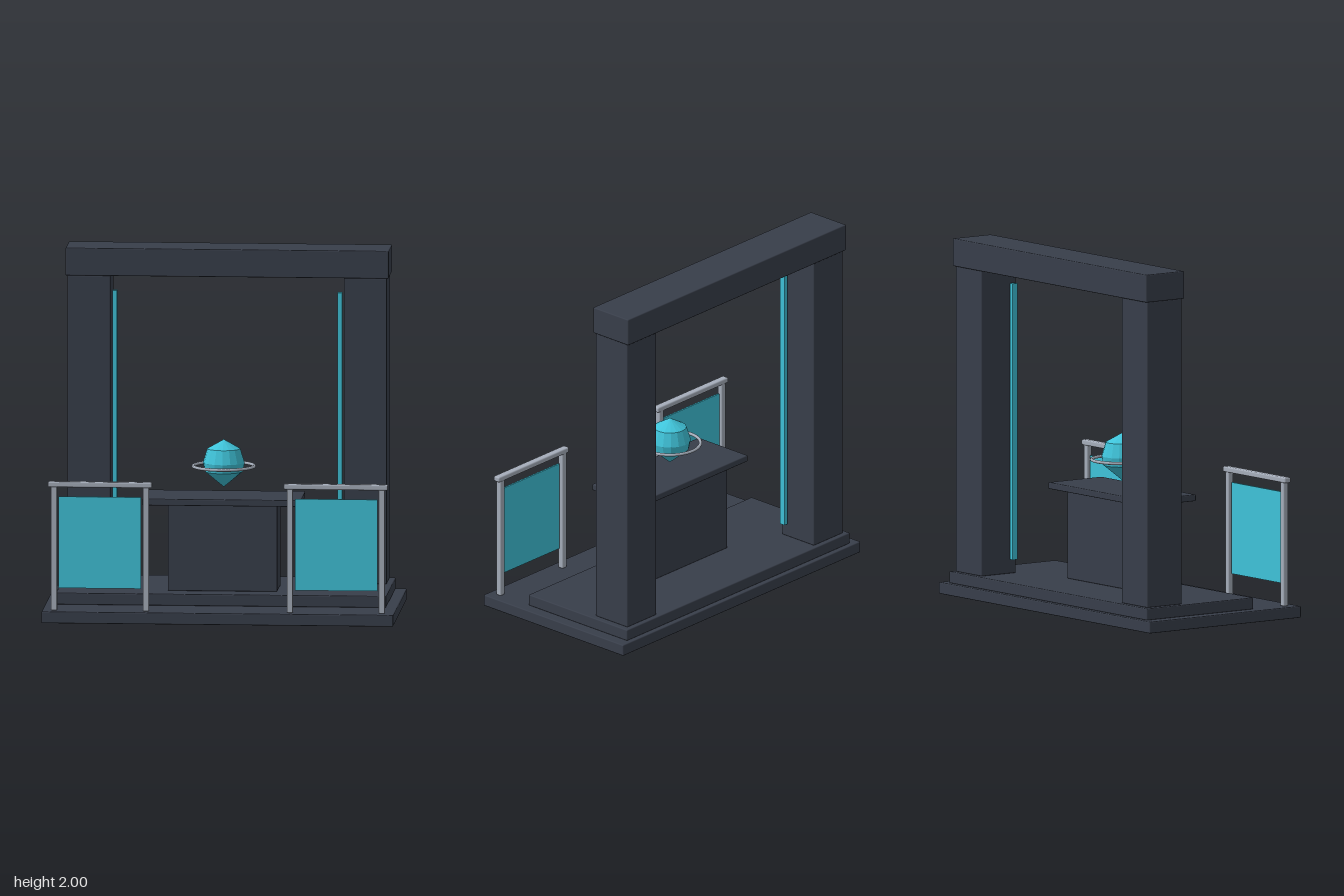
import * as THREE from 'three';
import { RoundedBoxGeometry } from 'three/addons/geometries/RoundedBoxGeometry.js';

export function createModel() {
  const model = new THREE.Group();
  model.name = 'crystalGateShrine';

  const material = (name, color, extra = {}) =>
    Object.assign(new THREE.MeshStandardMaterial({ color, ...extra }), { name });
  const stone = material('darkSlate', 0x383e4a);
  const metal = material('paleMetal', 0xa6aebb);
  const glow = material('cyanGlass', 0x3fc3d9);
  const crystalGlow = glow.clone();
  crystalGlow.flatShading = true;

  // Softly edged block given by its min and max along each axis
  function block(name, mat, [x0, x1], [y0, y1], [z0, z1], parent = model, radius = 0.006) {
    const w = x1 - x0, h = y1 - y0, d = z1 - z0;
    const geometry = radius
      ? new RoundedBoxGeometry(w, h, d, 2, radius)
      : new THREE.BoxGeometry(w, h, d);
    const mesh = new THREE.Mesh(geometry, mat);
    mesh.name = name;
    mesh.position.set((x0 + x1) / 2, (y0 + y1) / 2, (z0 + z1) / 2);
    parent.add(mesh);
    return mesh;
  }

  // Two-step platform
  block('base', stone, [-0.98, 0.98], [0, 0.065], [-0.525, 0.525]);
  block('step', stone, [-0.92, 0.92], [0.065, 0.13], [-0.5, 0.24]);

  // Lintel across the gate
  block('lintel', stone, [-0.9, 0.9], [1.845, 2], [-0.49, -0.225]);

  // Counter
  block('counterBody', stone, [-0.305, 0.305], [0.13, 0.62], [-0.14, 0.11]);
  block('counterTop', stone, [-0.44, 0.44], [0.62, 0.657], [-0.17, 0.2]);

  // Pillars, light strips and railings on both sides
  for (const [side, s] of [['left', 1], ['right', -1]]) {
    const span = (a, b) => (s > 0 ? [a, b] : [-b, -a]);
    block(side + 'Pillar', stone, span(0.65, 0.89), [0.13, 1.845], [-0.475, -0.235]);
    block(side + 'LightStrip', glow, span(0.615, 0.64), [0.21, 1.76], [-0.285, -0.25], model, 0);

    const railing = new THREE.Group();
    railing.name = side + 'Railing';
    model.add(railing);
    block('innerPost', metal, span(0.384, 0.418), [0.065, 0.765], [0.441, 0.475], railing);
    block('outerPost', metal, span(0.896, 0.93), [0.065, 0.765], [0.441, 0.475], railing);
    block('handrail', metal, span(0.367, 0.947), [0.757, 0.788], [0.437, 0.479], railing, 0.008);
    block('glassPanel', glow, span(0.43, 0.888), [0.19, 0.703], [0.453, 0.463], railing, 0);
  }

  // Floating faceted crystal with its ring
  const profile = [
    [0, 0.703], [0.106, 0.79], [0.116, 0.84], [0.092, 0.918], [0, 0.97],
  ].map(([r, y]) => new THREE.Vector2(r, y));
  const crystal = new THREE.Mesh(new THREE.LatheGeometry(profile, 16), crystalGlow);
  crystal.name = 'crystal';
  crystal.position.z = 0.015;
  model.add(crystal);

  const ring = new THREE.Mesh(new THREE.TorusGeometry(0.17, 0.009, 8, 48), metal);
  ring.name = 'crystalRing';
  ring.rotation.x = Math.PI / 2;
  ring.position.set(0, 0.82, 0.015);
  model.add(ring);

  return model;
}
